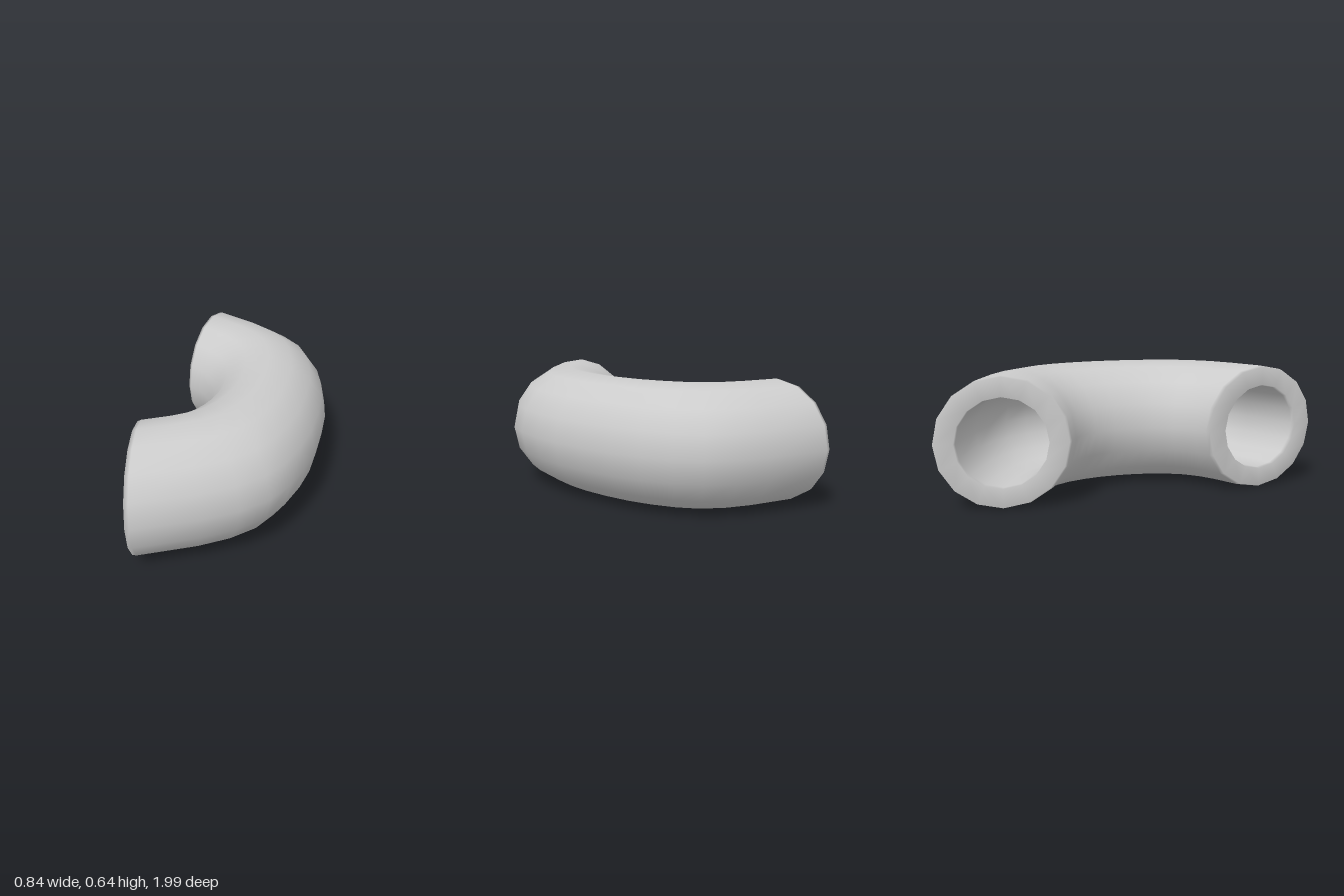
import * as THREE from 'three';

const SIDES = 16, HEIGHT = 0.643, BORE = 0.68;

// Plan of half the bend: outer x, outer z, inner x, inner z
const HALF = [
  [-0.31, -1.0, -0.423, -0.358],
  [-0.29, -0.993, -0.408, -0.347],
  [0.005, -0.847, -0.355, -0.312],
  [0.153, -0.75, -0.308, -0.275],
  [0.27, -0.635, -0.27, -0.225],
  [0.339, -0.503, -0.245, -0.18],
  [0.386, -0.344, -0.225, -0.127],
  [0.413, -0.185, -0.212, -0.07],
  [0.42, 0, -0.206, 0],
];

// One elliptical ring of points across the bend, scaled about its centre
function ring([ox, oz, ix, iz], scale) {
  const points = [];
  for (let j = 0; j < SIDES; j++) {
    const a = (j / SIDES) * Math.PI * 2;
    const c = Math.cos(a) * scale * 0.5;
    points.push(
      (ox + ix) / 2 + (ox - ix) * c,
      HEIGHT / 2 * (1 + Math.sin(a) * scale),
      (oz + iz) / 2 + (oz - iz) * c,
    );
  }
  return points;
}

// Joins the rings in order, and the last one back to the first
function loft(rings) {
  const index = [];
  const n = rings.length;
  for (let k = 0; k < n; k++) {
    for (let j = 0; j < SIDES; j++) {
      const a = k * SIDES + j, b = k * SIDES + (j + 1) % SIDES;
      const c = ((k + 1) % n) * SIDES + j, d = ((k + 1) % n) * SIDES + (j + 1) % SIDES;
      index.push(a, b, c, b, d, c);
    }
  }
  const geometry = new THREE.BufferGeometry();
  geometry.setAttribute('position', new THREE.Float32BufferAttribute(rings.flat(), 3));
  geometry.setIndex(index);
  geometry.computeVertexNormals();
  return geometry;
}

export function createModel() {
  const group = new THREE.Group();
  group.name = 'bentPipe';

  const mirrored = HALF.slice(0, -1).reverse().map(([ox, oz, ix, iz]) => [ox, -oz, ix, -iz]);
  const stations = [...HALF, ...mirrored];
  const first = stations[0], last = stations[stations.length - 1];
  const body = stations.slice(1, -1);

  const rings = [
    // Rim at the back end
    ring(first, BORE + 0.01), ring(first, 0.985),
    // Outer wall
    ...body.map((s) => ring(s, 1)),
    // Rim at the front end
    ring(last, 0.985), ring(last, BORE + 0.01),
    // Bore, running back to the start
    ...body.slice().reverse().map((s) => ring(s, BORE)),
  ];

  const pipe = new THREE.Mesh(loft(rings), new THREE.MeshStandardMaterial({ color: 0xcccccc }));
  pipe.name = 'hollowPipe';
  group.add(pipe);
  return group;
}
